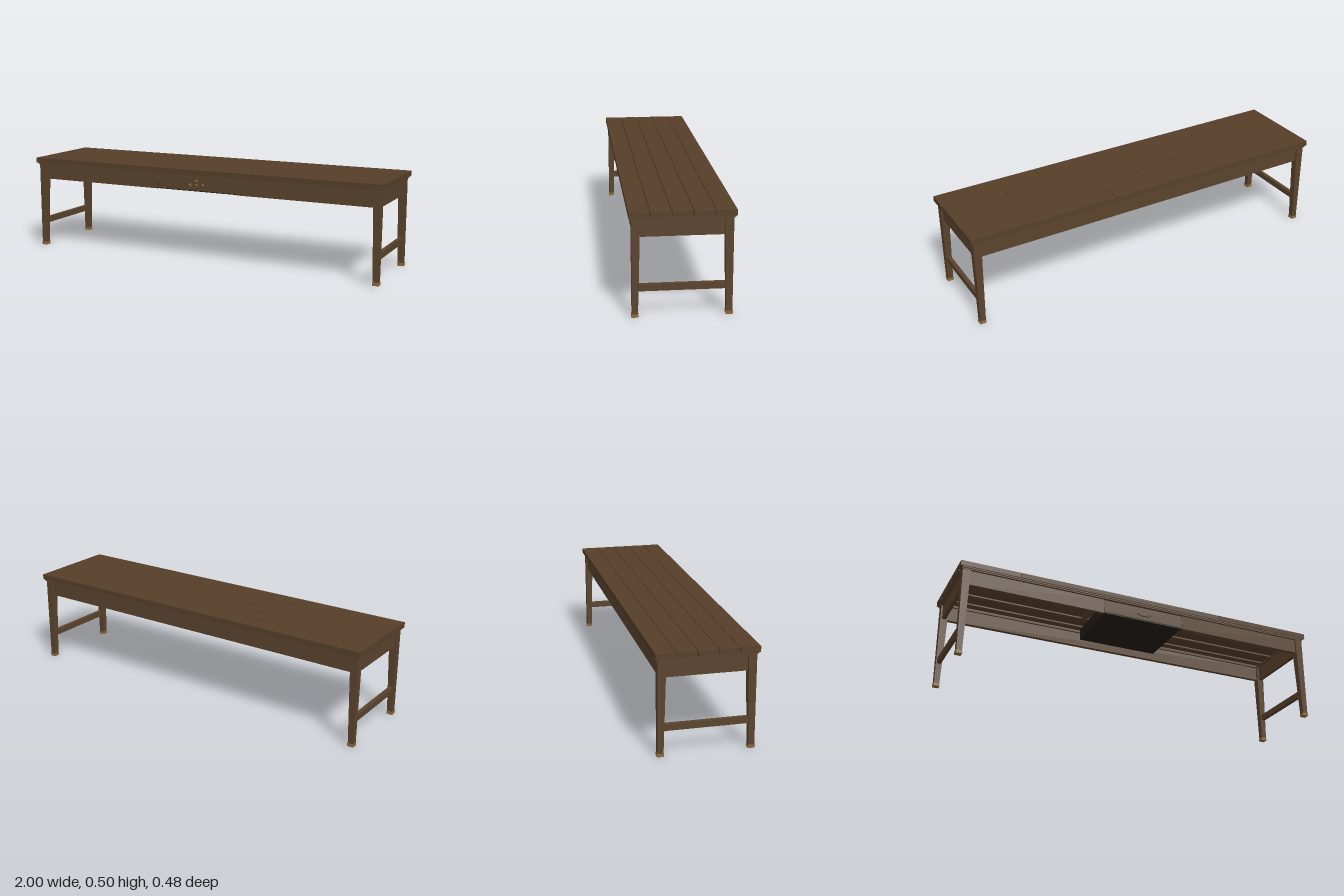
import * as THREE from 'three';

export function createModel() {
  const model = new THREE.Group();
  const paint = (name, color) => {
    const m = new THREE.MeshStandardMaterial({ color });
    m.name = name;
    return m;
  };
  const wood = paint('brown wood', 0x5a432d);
  const topWood = paint('top wood', 0x563f29);
  const dark = paint('dark drawer wood', 0x241c19);
  const brass = paint('aged brass', 0x8c6a3a);

  const add = (parent, name, geometry, material) => {
    const mesh = new THREE.Mesh(geometry, material);
    mesh.name = name;
    parent.add(mesh);
    return mesh;
  };
  // Box given by its extents on each axis
  const box = (parent, name, material, x0, x1, y0, y1, z0, z1) => {
    const g = new THREE.BoxGeometry(x1 - x0, y1 - y0, z1 - z0);
    g.translate((x0 + x1) / 2, (y0 + y1) / 2, (z0 + z1) / 2);
    return add(parent, name, g, material);
  };
  const group = (name) => {
    const g = new THREE.Group();
    g.name = name;
    model.add(g);
    return g;
  };

  // Table top: five rows of planks with staggered butt joints
  const top = group('tableTop');
  const edges = [-0.24, -0.146, -0.048, 0.049, 0.146, 0.24];
  const joints = [[0.22], [-0.01], [-0.237], [-0.46, 0.67], [-0.69, 0.445]];
  const gap = 0.0015;
  joints.forEach((cuts, row) => {
    const stops = [-1, ...cuts, 1];
    const z0 = edges[row] + (row ? gap : 0);
    const z1 = edges[row + 1] - (row < 4 ? gap : 0);
    for (let i = 0; i < stops.length - 1; i++) {
      const x0 = stops[i] + (i ? gap : 0);
      const x1 = stops[i + 1] - (i < stops.length - 2 ? gap : 0);
      box(top, 'plank', topWood, x0, x1, 0.47, 0.497, z0, z1);
    }
    // Short cleats below each butt joint
    cuts.forEach((x) => box(top, 'jointCleat', wood, x - 0.016, x + 0.016, 0.462, 0.47,
      Math.max(z0, -0.2), Math.min(z1, 0.2)));
  });
  // Long battens below the seams
  edges.slice(1, 5).forEach((z) =>
    box(top, 'seamBatten', wood, -0.95, 0.95, 0.462, 0.4702, z - 0.012, z + 0.012));

  // Moulding frame between the top and the aprons
  const moulding = group('moulding');
  for (const s of [-1, 1]) {
    const span = (a, b) => [Math.min(s * a, s * b), Math.max(s * a, s * b)];
    box(moulding, 'longMoulding', wood, -0.992, 0.992, 0.463, 0.47, ...span(0.19, 0.236));
    box(moulding, 'lowerLongMoulding', wood, -0.988, 0.988, 0.457, 0.463, ...span(0.19, 0.231));
    box(moulding, 'endMoulding', wood, ...span(0.945, 0.995), 0.463, 0.47, -0.19, 0.19);
    box(moulding, 'lowerEndMoulding', wood, ...span(0.945, 0.989), 0.457, 0.463, -0.19, 0.19);
  }

  // Aprons; the front one is split around the drawer
  const aprons = group('aprons');
  box(aprons, 'backApron', wood, -0.945, 0.945, 0.38, 0.458, -0.22, -0.2);
  for (const s of [-1, 1]) {
    box(aprons, 'frontApron', wood, s < 0 ? -0.945 : 0.229, s < 0 ? -0.229 : 0.945,
      0.38, 0.458, 0.2, 0.22);
    box(aprons, 'endApron', wood, s < 0 ? -0.977 : 0.957, s < 0 ? -0.957 : 0.977,
      0.378, 0.458, -0.188, 0.188);
  }

  // Legs taper on their two inner faces and end in brass caps
  const legs = group('legs');
  for (const sx of [-1, 1]) {
    for (const sz of [-1, 1]) {
      const g = new THREE.BoxGeometry(1, 1, 1);
      const p = g.attributes.position;
      for (let i = 0; i < p.count; i++) {
        const high = p.getY(i) > 0;
        const outX = p.getX(i) * sx > 0;
        const outZ = p.getZ(i) * sz > 0;
        const x = outX ? 0.986 : high ? 0.945 : 0.958;
        const z = outZ ? 0.228 : high ? 0.188 : 0.2;
        p.setXYZ(i, sx * x, high ? 0.458 : 0.01, sz * z);
      }
      g.computeVertexNormals();
      add(legs, 'leg', g, wood);
      const cap = new THREE.BoxGeometry(0.032, 0.016, 0.032);
      cap.translate(sx * 0.972, 0.008, sz * 0.214);
      add(legs, 'footCap', cap, brass);
    }
    box(legs, 'stretcher', wood, sx * 0.971 - 0.01, sx * 0.971 + 0.01, 0.123, 0.155, -0.195, 0.195);
  }

  // Drawer: open tray behind a fitted front
  const drawer = group('drawer');
  box(drawer, 'drawerFront', wood, -0.225, 0.225, 0.386, 0.454, 0.2, 0.221);
  box(drawer, 'drawerReveal', dark, -0.23, 0.23, 0.381, 0.458, 0.199, 0.216);
  box(drawer, 'drawerFloor', dark, -0.222, 0.222, 0.382, 0.39, -0.13, 0.2);
  box(drawer, 'drawerBack', dark, -0.222, 0.222, 0.382, 0.447, -0.13, -0.12);
  for (const s of [-1, 1]) {
    box(drawer, 'drawerSide', dark, s * 0.217 - 0.005, s * 0.217 + 0.005, 0.382, 0.447, -0.13, 0.2);
  }

  // Drop handle with two posts and a small top stud
  const handle = group('handle');
  for (const [x, y] of [[-0.037, 0.416], [0.037, 0.416], [0, 0.436]]) {
    const stud = new THREE.SphereGeometry(0.006, 12, 8);
    stud.translate(x, y, 0.223);
    add(handle, 'stud', stud, brass);
  }
  const curve = new THREE.CatmullRomCurve3([[-0.037, 0.416], [-0.024, 0.405], [0, 0.403],
    [0.024, 0.405], [0.037, 0.416]].map(([x, y]) => new THREE.Vector3(x, y, 0.229)));
  add(handle, 'bail', new THREE.TubeGeometry(curve, 20, 0.003, 8), wood);
  const drop = new THREE.CylinderGeometry(0.006, 0.006, 0.005, 12);
  drop.rotateX(Math.PI / 2).translate(0, 0.417, 0.223);
  add(handle, 'centreRosette', drop, brass);

  return model;
}
